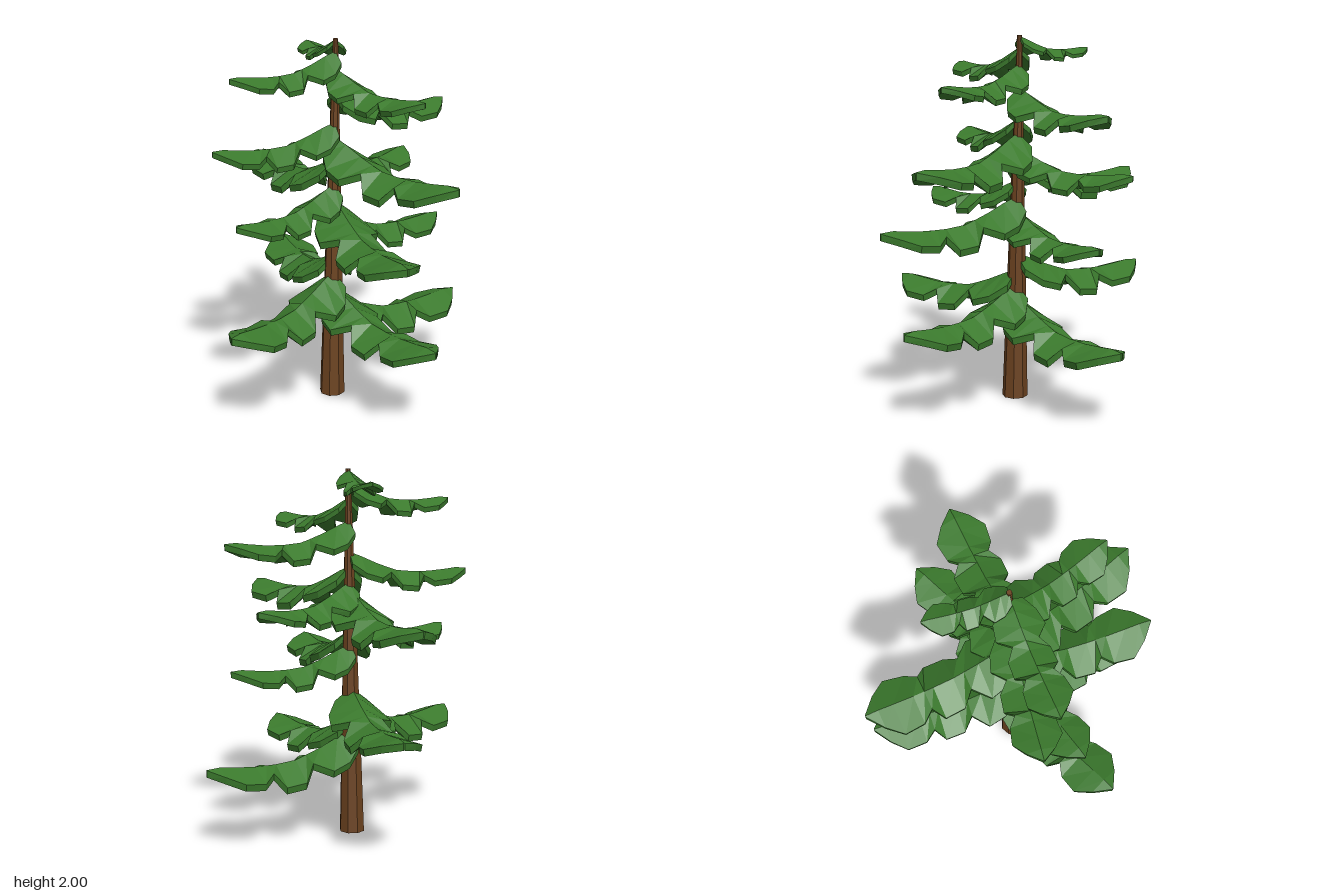
import * as THREE from 'three';

const bark = new THREE.MeshStandardMaterial({ color: 0x6b421f, flatShading: true });
const needles = new THREE.MeshStandardMaterial({ color: 0x3b7a2d, flatShading: true });

// Trunk centre line, leaning slightly
const trunkX = (y) => -0.05 + 0.015 * y;
const trunkZ = (y) => 0.01 - 0.005 * y;

// Bough cross-sections: distance out, ridge height, half width, droop of the hem
const SECTIONS = [
  [0.00, 0.115, 0.09, 0.07],
  [0.08, 0.085, 0.15, 0.10],
  [0.18, 0.040, 0.17, 0.085],
  [0.26, 0.010, 0.09, 0.025],
  [0.32, -0.01, 0.145, 0.085],
  [0.43, -0.02, 0.15, 0.085],
  [0.48, -0.02, 0.095, 0.02],
  [0.54, -0.02, 0.14, 0.055],
  [0.65, -0.01, 0.155, 0.05],
  [0.73, 0.000, 0.09, 0.03],
  [0.80, -0.005, 0.004, 0.002],
];
const THICK = 0.036;

// Ridged slab with a scalloped, drooping hem, growing along +x
function boughGeometry() {
  const pos = [], index = [];
  for (const [r, y, w, drop] of SECTIONS) {
    pos.push(r, y - drop, -w, r, y, 0, r, y - drop, w);
    pos.push(r, y - drop - THICK, w * 0.95, r, y - THICK, 0, r, y - drop - THICK, -w * 0.95);
  }
  const last = SECTIONS.length - 1;
  for (let i = 0; i < last; i++) {
    for (let k = 0; k < 6; k++) {
      const a = i * 6 + k, b = i * 6 + (k + 1) % 6;
      index.push(a, b, a + 6, b, b + 6, a + 6);
    }
  }
  // End caps, each half of the ridge as one quad
  const e = last * 6;
  index.push(0, 5, 4, 0, 4, 1, 1, 4, 3, 1, 3, 2);
  index.push(e, e + 4, e + 5, e, e + 1, e + 4, e + 1, e + 3, e + 4, e + 1, e + 2, e + 3);
  const g = new THREE.BufferGeometry();
  g.setAttribute('position', new THREE.Float32BufferAttribute(pos, 3));
  g.setIndex(index);
  const flat = g.toNonIndexed();
  flat.computeVertexNormals();
  return flat;
}

// Bough tips: x, y, z
const TIPS = [
  [0.80, 0.455, 0.00], [0.07, 0.53, 0.81], [-0.80, 0.61, 0.27], [0.07, 0.70, -0.80],
  [0.65, 0.96, 0.02], [-0.12, 1.02, 0.82], [-0.68, 1.13, 0.12], [-0.02, 1.24, -0.82],
  [0.60, 1.30, -0.25], [0.19, 1.365, 0.80], [-0.68, 1.465, -0.13],
  [0.68, 1.625, 0.00], [0.12, 1.76, 0.60], [-0.62, 1.85, -0.03], [0.05, 1.935, -0.42],
];

export function createModel() {
  const tree = new THREE.Group();
  tree.name = 'pineTree';

  // Trunk: tapered, sheared along its lean
  const trunkGeo = new THREE.CylinderGeometry(0.014, 0.071, 2, 8).translate(0, 1, 0);
  const p = trunkGeo.attributes.position;
  for (let i = 0; i < p.count; i++) {
    const y = p.getY(i);
    p.setX(i, p.getX(i) + trunkX(y));
    p.setZ(i, p.getZ(i) + trunkZ(y));
  }
  trunkGeo.computeVertexNormals();
  const trunk = new THREE.Mesh(trunkGeo, bark);
  trunk.name = 'trunk';
  tree.add(trunk);

  // Boughs: one shape, scaled to its reach and turned toward its tip
  const geo = boughGeometry();
  const boughs = new THREE.Group();
  boughs.name = 'boughs';
  TIPS.forEach(([x, y, z], i) => {
    const dx = x - trunkX(y), dz = z - trunkZ(y);
    const bough = new THREE.Mesh(geo, needles);
    bough.name = `bough${i + 1}`;
    bough.position.set(trunkX(y), y, trunkZ(y));
    bough.rotation.y = Math.atan2(-dz, dx);
    bough.scale.setScalar(Math.hypot(dx, dz) / 0.8);
    boughs.add(bough);
  });
  tree.add(boughs);
  return tree;
}
